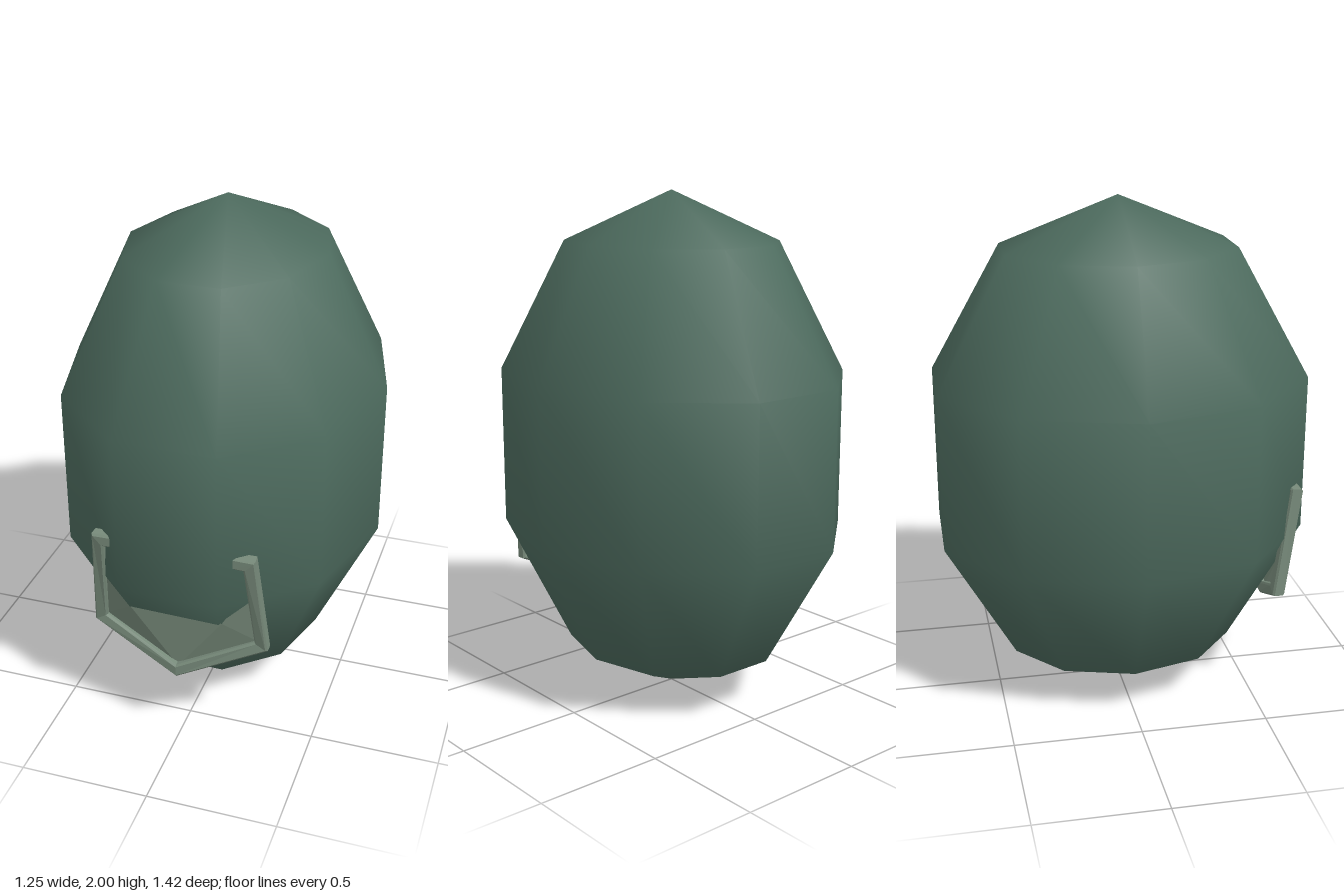
import * as THREE from 'three';

const shellGreen = new THREE.MeshStandardMaterial({ color: 0x4d6b5e });
shellGreen.name = 'shell green';
const paleGreen = new THREE.MeshStandardMaterial({ color: 0x778a7a, side: THREE.DoubleSide });
paleGreen.name = 'pale green';

const V = (x, y, z) => new THREE.Vector3(x, y, z);

function facetedMesh(name, triangles) {
  const geometry = new THREE.BufferGeometry().setFromPoints(triangles);
  geometry.computeVertexNormals();
  const mesh = new THREE.Mesh(geometry, paleGreen);
  mesh.name = name;
  return mesh;
}

// Sweeps a chamfered square bar along a path, with mitred corners
function mitredBar(name, path, half, chamfer) {
  const a = half, b = half - chamfer;
  const section = [[a, -b], [a, b], [b, a], [-b, a], [-a, b], [-a, -b], [-b, -a], [b, -a]];
  const front = V(0, 0, 1);
  const rings = path.map((p, i) => {
    const before = p.clone().sub(path[Math.max(i - 1, 0)]).normalize();
    const after = path[Math.min(i + 1, path.length - 1)].clone().sub(p).normalize();
    const along = before.clone().add(after).normalize();
    const ends = i === 0 || i === path.length - 1;
    const stretch = ends ? 1 : 1 / along.dot(after);
    const side = along.clone().cross(front).normalize();
    const out = side.clone().cross(along).normalize();
    return section.map(([u, v]) => p.clone().addScaledVector(side, u * stretch).addScaledVector(out, v));
  });
  const tris = [];
  const n = section.length;
  for (let i = 0; i < rings.length - 1; i++) {
    for (let j = 0; j < n; j++) {
      const k = (j + 1) % n;
      const [p, q, r, s] = [rings[i][j], rings[i][k], rings[i + 1][k], rings[i + 1][j]];
      tris.push(p, q, r, p, r, s);
    }
  }
  // End caps
  const last = rings[rings.length - 1];
  for (let j = 1; j < n - 1; j++) {
    tris.push(rings[0][0], rings[0][j + 1], rings[0][j]);
    tris.push(last[0], last[j], last[j + 1]);
  }
  return facetedMesh(name, tris);
}

export function createModel() {
  const group = new THREE.Group();
  group.name = 'eggPod';

  // Egg-shaped shell, few sides but smoothly shaded
  const shell = new THREE.Mesh(new THREE.SphereGeometry(1, 10, 5).scale(0.657, 1, 0.785), shellGreen);
  shell.name = 'shell';
  shell.position.y = 1;
  shell.rotation.y = -0.012;
  group.add(shell);

  // Raised rim around the scoop, hooked inward at its upper ends
  const halfPath = [V(0.225, 0.866, 0.65), V(0.289, 0.866, 0.65), V(0.319, 0.47, 0.583)];
  const mirrored = halfPath.map((p) => V(-p.x, p.y, p.z)).reverse();
  group.add(mitredBar('scoopRim', [...halfPath, V(0, 0.323, 0.637), ...mirrored], 0.024, 0.007));

  // Scoop panel: runs from the rim back into the shell
  const bottom = V(0, 0.33, 0.632);
  const panel = [];
  for (const s of [1, -1]) {
    const corner = V(s * 0.31, 0.475, 0.583);
    const top = V(s * 0.285, 0.75, 0.632);
    const inner = V(s * 0.18, 0.575, 0.645);
    const faces = [[bottom, corner, inner], [corner, top, inner], [bottom, inner, V(0, 0.575, 0.645)]];
    for (const [a, b, c] of faces) panel.push(...(s > 0 ? [a, b, c] : [a, c, b]));
  }
  group.add(facetedMesh('scoopPanel', panel));

  return group;
}
